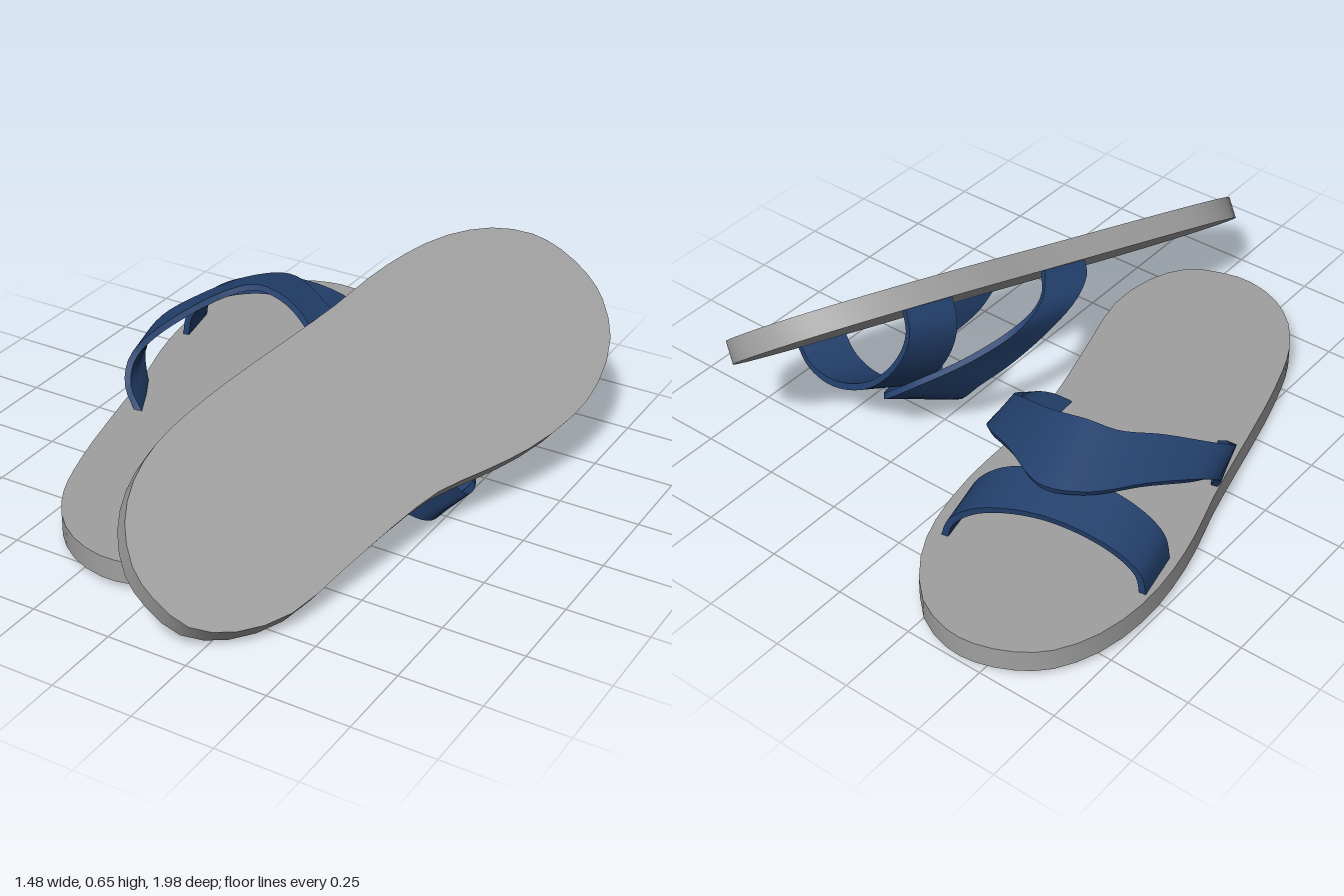
import * as THREE from 'three';
import { toCreasedNormals } from 'three/addons/utils/BufferGeometryUtils.js';

const SOLE_THICKNESS = 0.07;
const STRAP_THICKNESS = 0.02;

// Footbed outline as [across (inner side +), along (toe +)]
const OUTLINE = [
  [0, 0.98], [-0.11, 0.96], [-0.2, 0.91], [-0.285, 0.8], [-0.34, 0.65], [-0.361, 0.49], [-0.36, 0.33],
  [-0.345, 0.17], [-0.337, -0.02], [-0.328, -0.27], [-0.312, -0.45], [-0.29, -0.57], [-0.24, -0.69],
  [-0.16, -0.785], [-0.05, -0.845], [0.05, -0.852], [0.165, -0.82], [0.25, -0.715], [0.297, -0.55],
  [0.286, -0.35], [0.27, -0.13], [0.267, 0.06], [0.297, 0.23], [0.322, 0.4], [0.322, 0.6],
  [0.287, 0.75], [0.2, 0.895], [0.09, 0.965],
];

// Crossover strap: toe-side and heel-side edges, outer foot to inner foot
const CROSS_TOE_EDGE = [
  [-0.33, 0.05, -0.11], [-0.367, 0.15, -0.182], [-0.341, 0.215, -0.269], [-0.244, 0.262, -0.392],
  [-0.114, 0.287, -0.529], [0.006, 0.295, -0.565], [0.174, 0.272, -0.439], [0.303, 0.215, -0.321],
  [0.316, 0.16, -0.237], [0.275, 0.1, -0.184], [0.239, 0.05, -0.16],
];
const CROSS_HEEL_EDGE = [
  [-0.265, 0.05, 0.08], [-0.335, 0.12, 0.018], [-0.351, 0.18, -0.056], [-0.314, 0.23, -0.125],
  [-0.206, 0.3, -0.231], [-0.107, 0.34, -0.313], [-0.022, 0.362, -0.331], [0.096, 0.335, -0.307],
  [0.238, 0.25, -0.202], [0.314, 0.185, -0.125], [0.307, 0.14, -0.055], [0.254, 0.09, 0.016],
  [0.212, 0.05, 0.048],
];

// Toe strap: an arch given as [across, height factor], one edge per call
const ARCH = [[-0.337, 0], [-0.315, 0.45], [-0.22, 0.8], [-0.03, 1], [0.16, 0.8], [0.255, 0.42], [0.283, 0]];
const archEdge = (z, peak) => ARCH.map(([x, f]) => [x, 0.05 + f * (peak - 0.05), z - 0.052 * x]);

const toCurve = (pts) => new THREE.CatmullRomCurve3(pts.map((p) => new THREE.Vector3(...p)));

// Thick band between two edge curves; side = -1 mirrors it
function bandGeometry(toeEdge, heelEdge, side, steps = 48) {
  const a = toCurve(toeEdge);
  const b = toCurve(heelEdge);
  const rings = [];
  for (let i = 0; i <= steps; i++) {
    const u = i / steps;
    const p = a.getPointAt(u);
    const q = b.getPointAt(u);
    const tangent = a.getTangentAt(u).add(b.getTangentAt(u));
    const inward = tangent.cross(q.clone().sub(p)).normalize().multiplyScalar(STRAP_THICKNESS);
    rings.push([p, q, q.clone().add(inward), p.clone().add(inward)]);
  }
  const position = [];
  const index = [];
  for (let k = 0; k < 4; k++) {
    const start = position.length / 3;
    rings.forEach((ring, i) => {
      for (const v of [ring[k], ring[(k + 1) % 4]]) position.push(v.x * side, v.y, v.z);
      if (i === steps) return;
      const p0 = start + i * 2;
      const [q0, p1, q1] = [p0 + 1, p0 + 2, p0 + 3];
      if (side > 0) index.push(p0, q0, q1, p0, q1, p1);
      else index.push(p0, q1, q0, p0, p1, q1);
    });
  }
  const geometry = new THREE.BufferGeometry();
  geometry.setAttribute('position', new THREE.Float32BufferAttribute(position, 3));
  geometry.setIndex(index);
  geometry.computeVertexNormals();
  return geometry;
}

function soleGeometry(side) {
  const curve = new THREE.CatmullRomCurve3(
    OUTLINE.map(([x, y]) => new THREE.Vector3(x * side, y, 0)), true);
  const shape = new THREE.Shape(curve.getPoints(56).slice(0, -1).map((p) => new THREE.Vector2(p.x, p.y)));
  const geometry = new THREE.ExtrudeGeometry(shape, { depth: SOLE_THICKNESS, bevelEnabled: false });
  geometry.rotateX(-Math.PI / 2);
  return toCreasedNormals(geometry, 0.6);
}

// One sandal standing on y = 0 with the toe towards -z
function createSandal(name, side, materials) {
  const sandal = new THREE.Group();
  sandal.name = name;
  const add = (part, geometry, material) => {
    const mesh = new THREE.Mesh(geometry, material);
    mesh.name = part;
    sandal.add(mesh);
  };
  add('sole', soleGeometry(side), materials.sole);
  add('toeStrap', bandGeometry(archEdge(-0.632, 0.25), archEdge(-0.472, 0.28), side), materials.strap);
  add('crossoverStrap', bandGeometry(CROSS_TOE_EDGE, CROSS_HEEL_EDGE, side), materials.strap);
  return sandal;
}

export function createModel() {
  const materials = {
    sole: new THREE.MeshStandardMaterial({ name: 'grey sole', color: 0xa0a0a0 }),
    strap: new THREE.MeshStandardMaterial({ name: 'navy strap', color: 0x24416e }),
  };
  const model = new THREE.Group();
  model.name = 'pairOfSandals';

  // Sandal lying flat
  const flat = createSandal('flatSandal', 1, materials);
  flat.position.set(-0.2825, 0.02, -0.035);
  flat.rotation.y = 0.2013;
  model.add(flat);

  // Mirrored sandal, turned over and leaning on the first
  const turned = createSandal('overturnedSandal', -1, materials);
  const down = new THREE.Vector3(0.585, 0.76, 0.281).normalize();
  const toe = new THREE.Vector3(0.2545, 0.157, -0.954).projectOnPlane(down).normalize();
  const across = new THREE.Vector3().crossVectors(down, toe);
  turned.quaternion.setFromRotationMatrix(
    new THREE.Matrix4().makeBasis(across, down.clone().negate(), toe.clone().negate()));
  turned.position.set(0.32, 0.327, 0.165);
  model.add(turned);

  return model;
}
